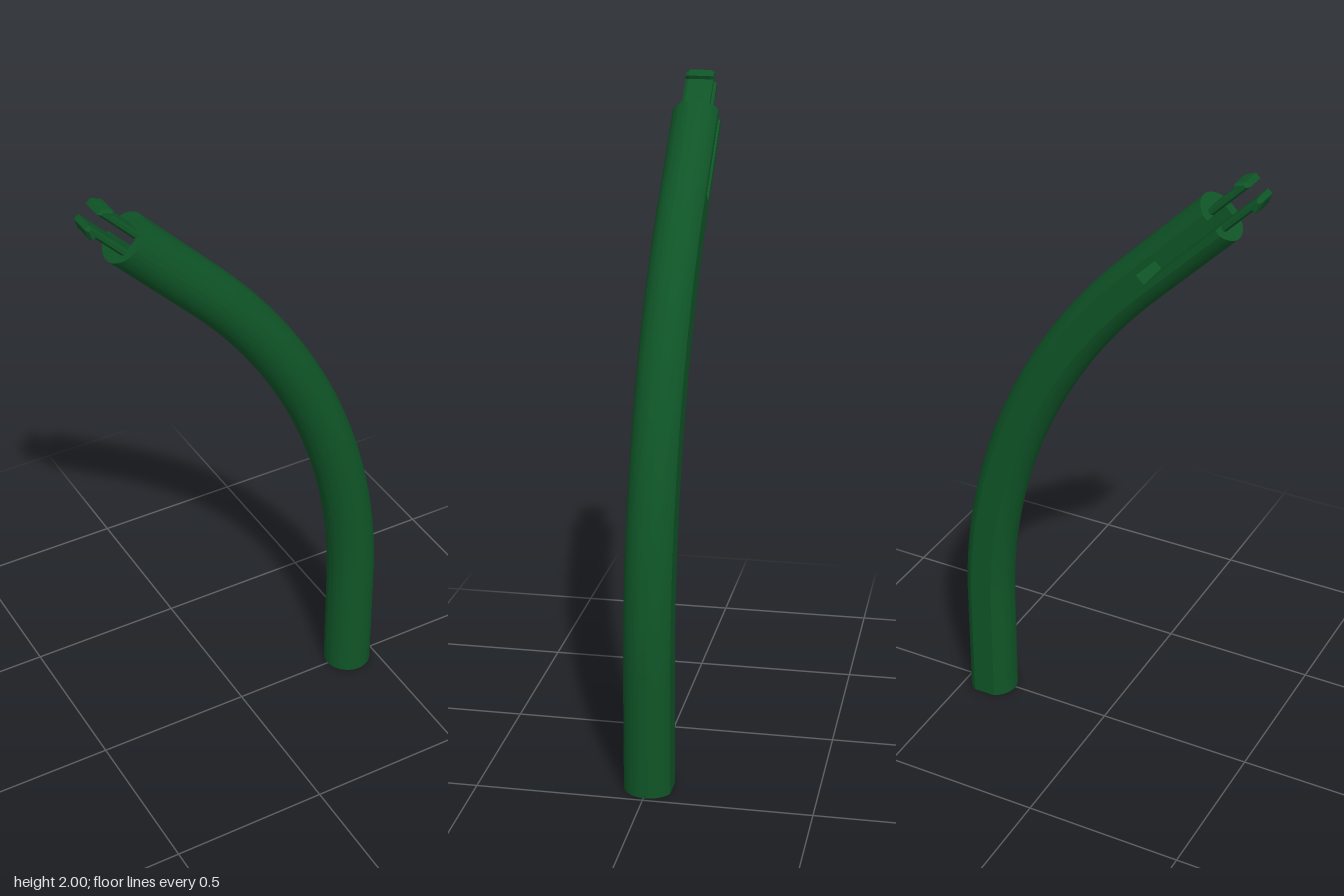
import * as THREE from 'three';
import { toCreasedNormals } from 'three/addons/utils/BufferGeometryUtils.js';

// Centre line: straight foot, 45 degree arc, straight end
const FOOT = 0.36, R = 1.79, ANGLE = Math.PI / 4, ARC = R * ANGLE, END = 0.347;
const TOTAL = FOOT + ARC + END, SLOT = 0.3, BASE_X = 0.41;

// Carries (across, back, along) coordinates onto the centre line
function bend(geometry) {
  const p = geometry.attributes.position;
  for (let i = 0; i < p.count; i++) {
    const v = p.getX(i), w = p.getY(i), s = p.getZ(i);
    const t = Math.min(Math.max(s - FOOT, 0), ARC) / R;
    const rest = s < FOOT ? s : Math.max(s - FOOT - ARC, 0);
    const foot = s < FOOT ? 0 : FOOT;
    const c = Math.cos(t), n = Math.sin(t);
    p.setXYZ(i, BASE_X - R * (1 - c) - n * rest + c * v, foot + R * n + c * rest + n * v, -w);
  }
  return toCreasedNormals(geometry, 0.4);
}

// Round section with a flat back, optionally grooved
function section(grooved) {
  const r = 0.077, flat = 0.068, cy = 0.0045, a = Math.asin(flat / r);
  const shape = new THREE.Shape();
  shape.absarc(0, cy, r, Math.PI - a, 2 * Math.PI + a, false);
  if (grooved) {
    shape.lineTo(0.017, cy + flat);
    shape.lineTo(0.017, -0.04);
    shape.lineTo(-0.017, -0.04);
    shape.lineTo(-0.017, cy + flat);
  }
  return shape;
}

export function createModel() {
  const group = new THREE.Group();
  const green = new THREE.MeshStandardMaterial({ color: 0x0f5527 });
  green.name = 'dark green';
  const add = (name, geometry) => {
    const mesh = new THREE.Mesh(bend(geometry), green);
    mesh.name = name;
    group.add(mesh);
  };

  // Curved stem
  add('stem', new THREE.ExtrudeGeometry(section(false), {
    depth: TOTAL - SLOT, steps: 56, curveSegments: 36, bevelEnabled: false,
  }));

  // Straight end with a groove down its back
  const end = new THREE.ExtrudeGeometry(section(true), {
    depth: SLOT, curveSegments: 36, bevelEnabled: false,
  });
  end.translate(0, 0, TOTAL - SLOT);
  add('groovedEnd', end);

  // Pair of barbed snap prongs
  const profile = [
    [0.017, -0.02], [0.039, -0.02], [0.039, 0.108], [0.05, 0.112],
    [0.048, 0.122], [0.035, 0.147], [0.017, 0.147],
  ];
  for (const side of [1, -1]) {
    const shape = new THREE.Shape(profile.map(([v, u]) => new THREE.Vector2(side * v, u)));
    const prong = new THREE.ExtrudeGeometry(shape, {
      depth: 0.066, bevelThickness: 0.01, bevelSize: 0.006, bevelOffset: -0.006, bevelSegments: 1,
    });
    prong.translate(0, 0, -0.033);
    prong.rotateX(Math.PI / 2);
    prong.translate(0, 0, TOTAL);
    add(side > 0 ? 'upperProng' : 'lowerProng', prong);
  }
  return group;
}
